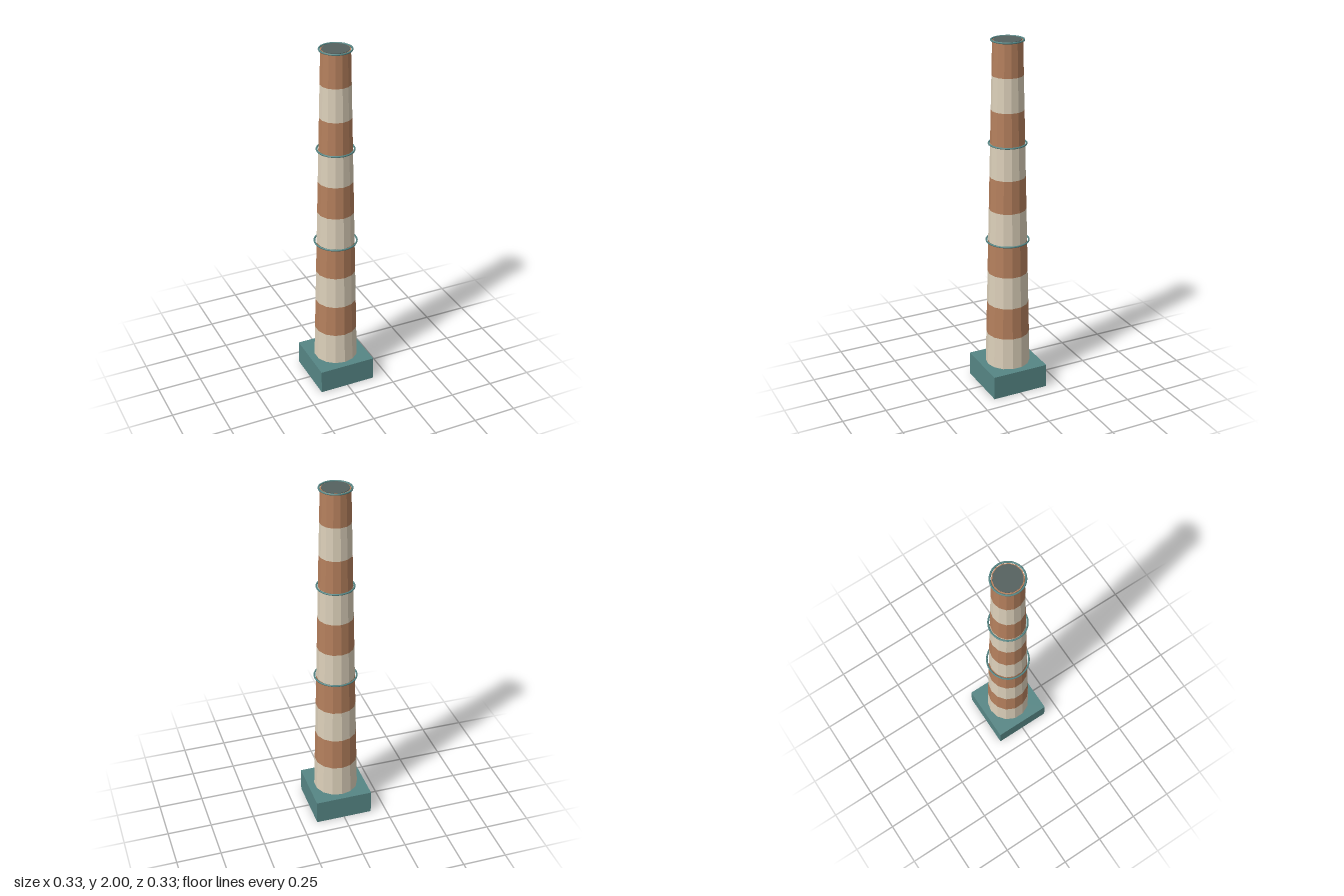
import * as THREE from 'three';

const BASE_TOP = 0.137, SHAFT_TOP = 1.995, R_BOTTOM = 0.125, R_TOP = 0.08;
const BANDS = 10, SIDES = 14;

function material(name, color, flatShading = false) {
  const m = new THREE.MeshStandardMaterial({ color, flatShading });
  m.name = name;
  return m;
}

export function createModel() {
  const model = new THREE.Group();
  model.name = 'chimney';
  const teal = material('teal', 0x568685);
  const cream = material('cream', 0xdcd0ba, true);
  const brown = material('brown', 0xb5805d, true);
  const soot = material('soot', 0x55615f);

  const add = (name, geometry, mat, y) => {
    const mesh = new THREE.Mesh(geometry, mat);
    mesh.name = name;
    mesh.position.y = y;
    model.add(mesh);
    return mesh;
  };

  // Square footing
  add('base', new THREE.BoxGeometry(0.326, BASE_TOP, 0.326), teal, BASE_TOP / 2);

  // Tapering shaft in alternating bands, cream at the bottom
  const height = (SHAFT_TOP - BASE_TOP) / BANDS;
  const radius = (i) => THREE.MathUtils.lerp(R_BOTTOM, R_TOP, i / BANDS);
  for (let i = 0; i < BANDS; i++) {
    const open = i < BANDS - 1;
    add(`shaftBand${i + 1}`,
      new THREE.CylinderGeometry(radius(i + 1), radius(i), height, SIDES, 1, open),
      i % 2 ? brown : cream, BASE_TOP + (i + 0.5) * height);
  }

  // Dark flue opening
  add('flue', new THREE.CylinderGeometry(0.074, 0.074, 0.004, SIDES), soot, SHAFT_TOP + 0.001);

  // Hoops standing slightly off the shaft
  [[0.882, 0.117], [1.438, 0.101], [1.995, 0.0855]].forEach(([y, r], i) => {
    const ring = add(`hoop${i + 1}`, new THREE.TorusGeometry(r, 0.005, 8, 32), teal, y);
    ring.rotation.x = Math.PI / 2;
  });

  return model;
}
